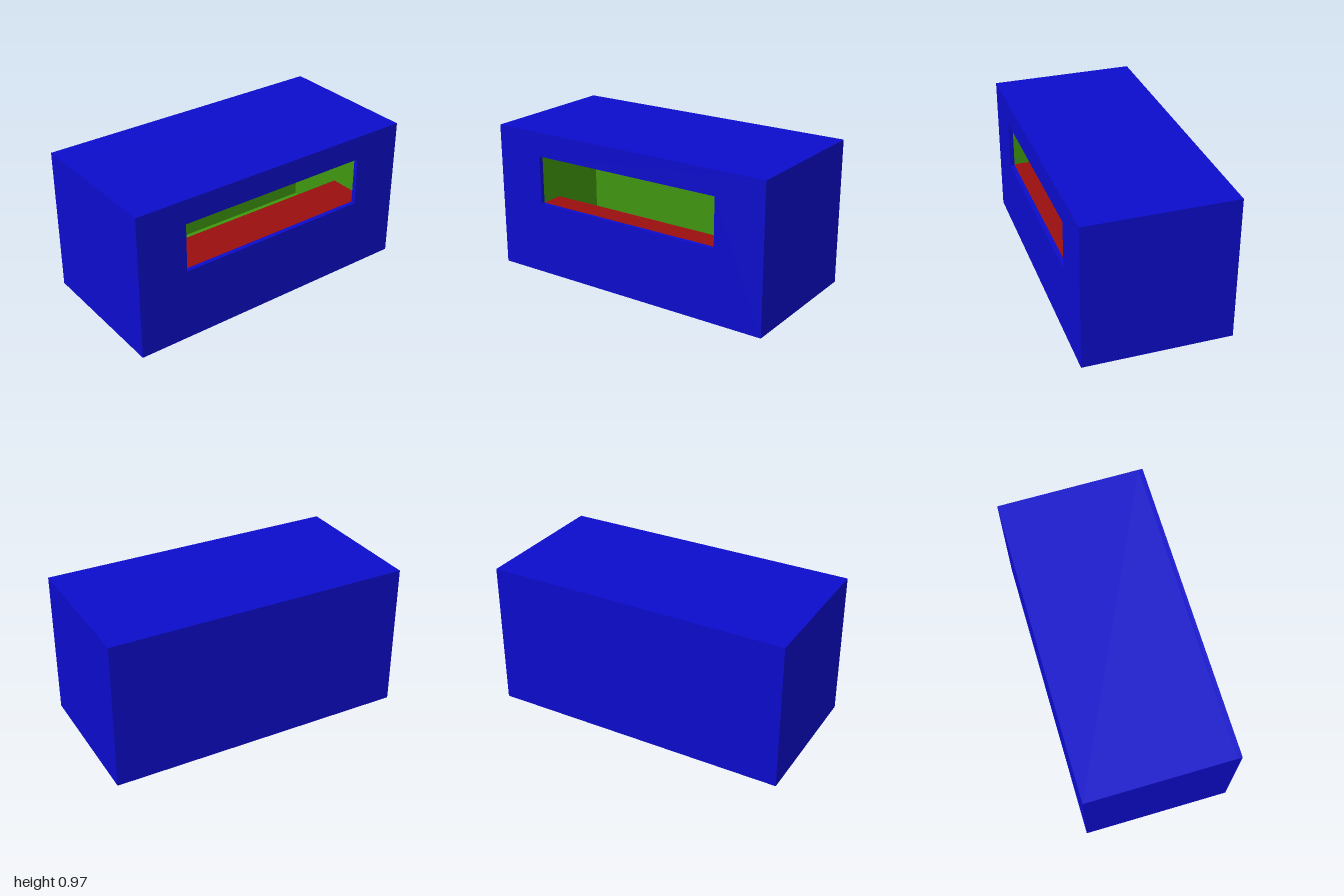
import * as THREE from 'three';

const W = 0.97, H = 0.97, L = 2, T = 0.029; // outer size and wall thickness
const GAP = 0.001;                          // lining sits just inside the walls
const WIN = { z: 0.667, y0: 0.485, y1: 0.81 };

const blue = new THREE.MeshStandardMaterial({ color: 0x0c0ccc });
const green = new THREE.MeshStandardMaterial({ color: 0x3f960f });
const red = new THREE.MeshStandardMaterial({ color: 0x9b0f0f });

// Wall outline in (z, y) with the window cut out
function windowWallShape(halfLength, y0, y1) {
  const rect = (target, a, b, c, d) => target.moveTo(a, b).lineTo(c, b).lineTo(c, d).lineTo(a, d).closePath();
  const shape = rect(new THREE.Shape(), -halfLength, y0, halfLength, y1);
  shape.holes.push(rect(new THREE.Path(), -WIN.z, WIN.y0, WIN.z, WIN.y1));
  return shape;
}

export function createModel() {
  const group = new THREE.Group();
  const add = (name, geometry, material, x = 0, y = 0, z = 0) => {
    const mesh = new THREE.Mesh(geometry, material);
    mesh.name = name;
    mesh.position.set(x, y, z);
    group.add(mesh);
    return mesh;
  };
  const box = (name, material, w, h, d, x, y, z) =>
    add(name, new THREE.BoxGeometry(w, h, d), material, x, y, z);
  const plane = (name, w, h, x, y, z, rx, ry) =>
    add(name, new THREE.PlaneGeometry(w, h), green, x, y, z).rotation.set(rx, ry, 0);

  // Outer walls, floor and roof
  const innerX = -T / 2; // these panels stop at the window wall
  box('floor', blue, W - T, T, L, innerX, T / 2, 0);
  box('roof', blue, W - T, T, L, innerX, H - T / 2, 0);
  box('backWall', blue, T, H - 2 * T, L, -W / 2 + T / 2, H / 2, 0);
  for (const [name, s] of [['frontEndWall', 1], ['rearEndWall', -1]])
    box(name, blue, W - 2 * T, H - 2 * T, T, 0, H / 2, s * (L / 2 - T / 2));

  // Long wall with the window opening
  const wall = new THREE.ExtrudeGeometry(windowWallShape(L / 2, 0, H), { depth: T, bevelEnabled: false });
  add('windowWall', wall, blue, W / 2 - T).rotation.y = Math.PI / 2;

  // Green interior lining, facing inwards
  const e = T + GAP, w = W - 2 * e, h = H - 2 * e, l = L - 2 * e;
  plane('floorLining', w, l, 0, e, 0, -Math.PI / 2, 0);
  plane('ceilingLining', w, l, 0, H - e, 0, Math.PI / 2, 0);
  plane('backLining', l, h, -W / 2 + e, H / 2, 0, 0, Math.PI / 2);
  plane('frontEndLining', w, h, 0, H / 2, L / 2 - e, 0, Math.PI);
  plane('rearEndLining', w, h, 0, H / 2, -L / 2 + e, 0, 0);
  const lining = new THREE.ShapeGeometry(windowWallShape(l / 2, e, H - e));
  add('windowWallLining', lining, green, W / 2 - e).rotation.y = -Math.PI / 2;

  // Red counter block under the window
  const x0 = -0.035, x1 = W / 2 - e - GAP, y0 = e + GAP, y1 = 0.325;
  box('counter', red, x1 - x0, y1 - y0, l - 2 * GAP, (x0 + x1) / 2, (y0 + y1) / 2, 0);

  return group;
}
